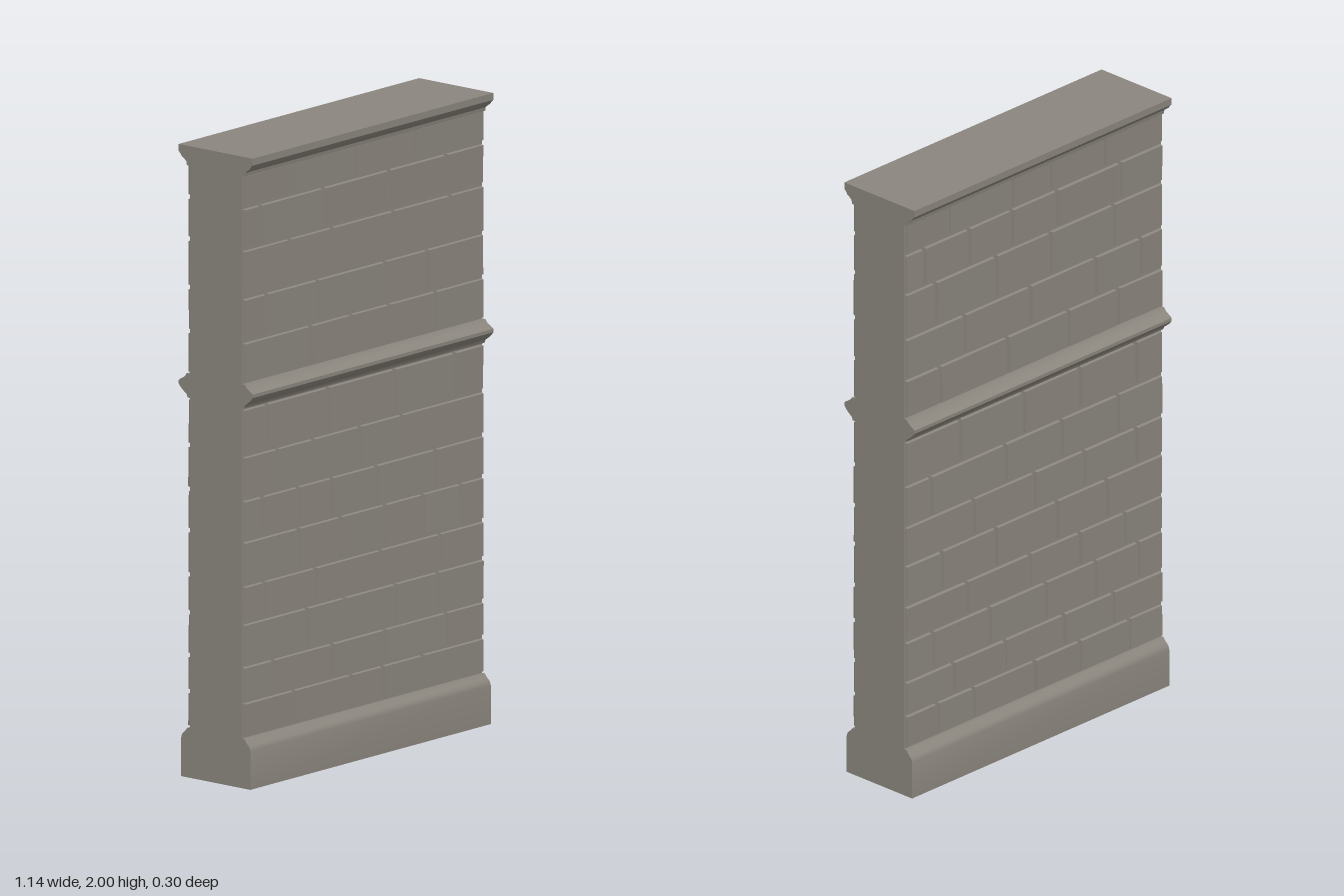
import * as THREE from 'three';
import { toCreasedNormals } from 'three/addons/utils/BufferGeometryUtils.js';

const HALF = 0.57;   // half the wall length
const CORE = 0.105;  // half thickness behind the bricks
const FACE = 0.115;  // brick face
const GAP = 0.012;   // joint width

// Courses: [bottom, top, front joints, back joints]
const COURSES = [
  [0.157, 0.273, [-0.33, -0.06, 0.09, 0.28], [-0.43, -0.27, 0.0, 0.2, 0.42]],
  [0.273, 0.387, [-0.43, -0.15, 0.10, 0.39], [-0.36, -0.13, 0.13, 0.35]],
  [0.387, 0.522, [-0.27, -0.09, 0.15, 0.35], [-0.45, -0.2, 0.05, 0.27, 0.46]],
  [0.522, 0.642, [-0.47, -0.23, 0.08, 0.36], [-0.3, -0.02, 0.2, 0.4]],
  [0.642, 0.782, [-0.31, -0.11, 0.10, 0.28, 0.46], [-0.41, -0.17, 0.1, 0.32]],
  [0.782, 0.913, [-0.48, -0.31, -0.15, 0.06, 0.34], [-0.27, 0.0, 0.22, 0.45]],
  [0.913, 1.052, [-0.41, -0.24, -0.02, 0.18], [-0.46, -0.13, 0.12, 0.37]],
  [1.052, 1.203, [-0.46, -0.17, 0.145, 0.43], [-0.33, -0.05, 0.2, 0.45]],
  [1.277, 1.413, [-0.25, -0.06, 0.12, 0.34], [-0.42, -0.12, 0.15, 0.37]],
  [1.413, 1.552, [-0.46, -0.22, 0.10, 0.30], [-0.31, -0.02, 0.27, 0.47]],
  [1.552, 1.705, [-0.35, -0.15, 0.14, 0.41], [-0.44, -0.17, 0.07, 0.35]],
  [1.705, 1.838, [-0.49, -0.19, 0.12, 0.39], [-0.49, -0.29, -0.1, 0.1, 0.38]],
  [1.838, 1.945, [-0.33, -0.04, 0.24], [-0.38, -0.1, 0.07, 0.31]],
];

// Half sections [z, y], bottom to top, mirrored front to back
const PLINTH = [[0.14, 0], [0.14, 0.122], [0.136, 0.135], [0.126, 0.144], [0.115, 0.157], [CORE, 0.157]];
const STRING = [[CORE, 1.203], [0.114, 1.203], [0.118, 1.213], [0.13, 1.222], [0.142, 1.232],
  [0.15, 1.242], [0.15, 1.253], [0.143, 1.258], [0.126, 1.268], [0.118, 1.279], [CORE, 1.279]];
const CORNICE = [[CORE, 1.938], [0.117, 1.938], [0.119, 1.95], [0.127, 1.957], [0.137, 1.963],
  [0.144, 1.973], [0.15, 1.978], [0.15, 2]];

let seed = 7;
function rand() {
  seed = (seed * 16807) % 2147483647;
  return seed / 2147483647;
}

// Run a mirrored section along the wall
function moulding(name, half, material) {
  const mirrored = half.map(([z, y]) => [-z, y]).reverse();
  const shape = new THREE.Shape([...half, ...mirrored].map(([z, y]) => new THREE.Vector2(z, y)));
  const geo = new THREE.ExtrudeGeometry(shape, { depth: HALF * 2, bevelEnabled: false });
  geo.rotateY(-Math.PI / 2).translate(HALF, 0, 0);
  const mesh = new THREE.Mesh(toCreasedNormals(geo, 0.6), material);
  mesh.name = name;
  return mesh;
}

// Brick with a tapered rim and a slightly uneven face
function brick(x0, x1, y0, y1, material) {
  const w = x1 - x0, h = y1 - y0, depth = FACE - CORE + 0.004;
  const geo = new THREE.BoxGeometry(w, h, depth);
  const p = geo.attributes.position;
  const tiltX = (rand() - 0.5) * 0.004, tiltY = (rand() - 0.5) * 0.003;
  for (let i = 0; i < p.count; i++) {
    if (p.getZ(i) < 0) continue;
    const sx = Math.sign(p.getX(i)), sy = Math.sign(p.getY(i));
    p.setXYZ(i, sx * (w / 2 - 0.003), sy * (h / 2 - 0.003), depth / 2 + sx * tiltX / 2 + sy * tiltY / 2);
  }
  geo.computeVertexNormals();
  const mesh = new THREE.Mesh(geo, material);
  mesh.name = 'brick';
  mesh.position.set((x0 + x1) / 2, (y0 + y1) / 2, FACE - depth / 2);
  return mesh;
}

// All the bricks of one side, laid out facing +z
function brickFace(name, side, material) {
  const group = new THREE.Group();
  group.name = name;
  for (const course of COURSES) {
    const edges = [-HALF, ...course[side], HALF];
    for (let i = 0; i + 1 < edges.length; i++) {
      const left = edges[i] + (i === 0 ? 0.003 : GAP / 2);
      const right = edges[i + 1] - (i + 2 === edges.length ? 0.003 : GAP / 2);
      group.add(brick(left, right, course[0] + 0.005, course[1] - 0.005, material));
    }
  }
  return group;
}

export function createModel() {
  const stone = new THREE.MeshStandardMaterial({ color: 0x8a857d });
  stone.name = 'stone';
  const model = new THREE.Group();
  model.name = 'brickWall';

  const core = new THREE.Mesh(new THREE.BoxGeometry(HALF * 2, 1.781, CORE * 2), stone);
  core.name = 'wallCore';
  core.position.y = 0.157 + 1.781 / 2;
  model.add(core);

  model.add(moulding('plinth', PLINTH, stone));
  model.add(moulding('stringCourse', STRING, stone));
  model.add(moulding('cornice', CORNICE, stone));

  model.add(brickFace('frontBricks', 2, stone));
  const back = brickFace('backBricks', 3, stone);
  back.rotation.y = Math.PI;
  model.add(back);
  return model;
}
